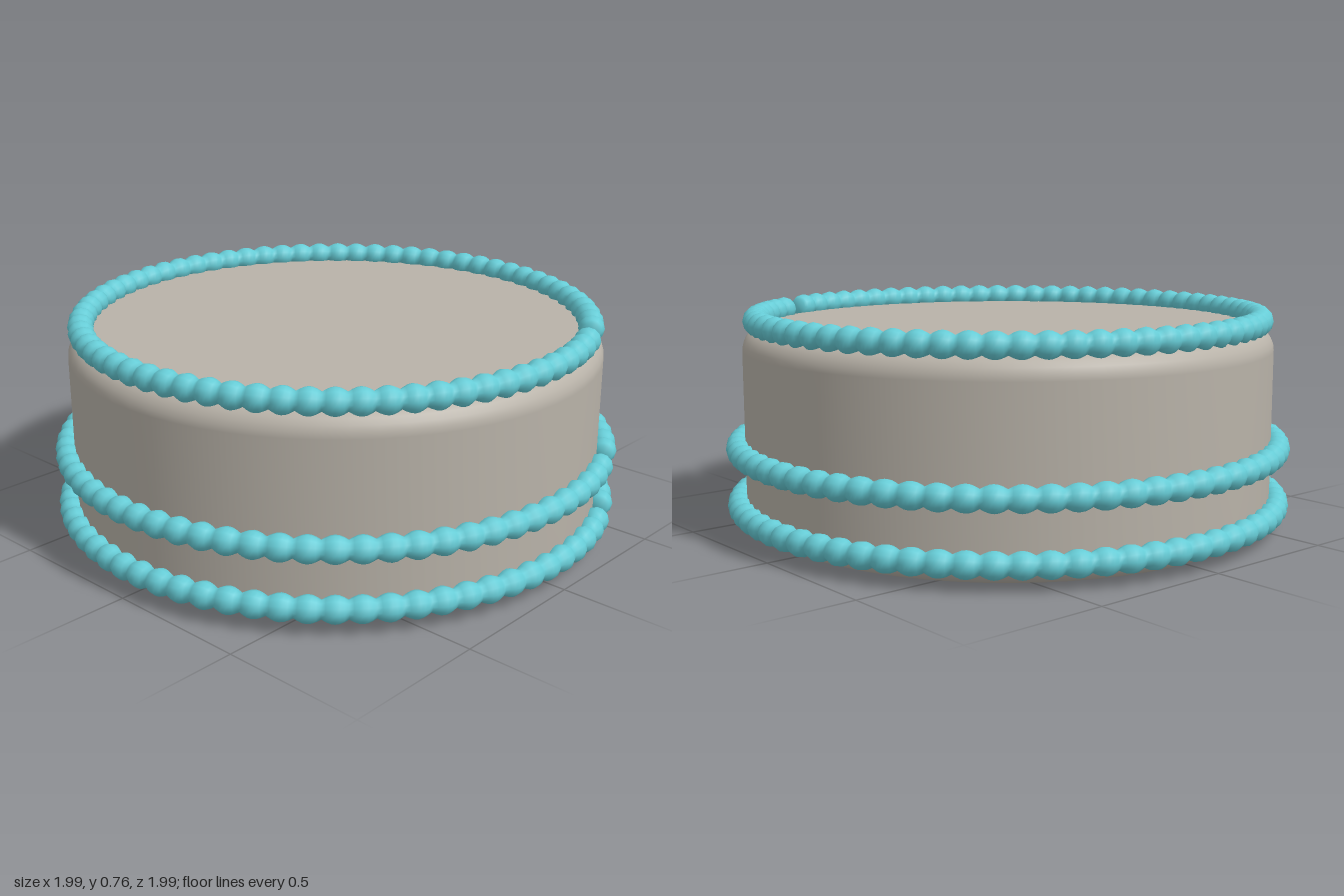
import * as THREE from 'three';

const bodyMaterial = new THREE.MeshStandardMaterial({ color: 0xb8b2a8 });
bodyMaterial.name = 'warm grey';
const beadMaterial = new THREE.MeshStandardMaterial({ color: 0x66ccd6 });
beadMaterial.name = 'turquoise';

// Round drum with softly rounded top and bottom edges
function makeBody() {
  const radius = 0.93, height = 0.7, bevel = 0.08, steps = 6;
  const flat = radius - bevel;
  const points = [new THREE.Vector2(0, 0), new THREE.Vector2(flat - 0.01, 0)];
  for (let i = 0; i <= steps; i++) {
    const a = (i / steps) * Math.PI / 2;
    points.push(new THREE.Vector2(flat + bevel * Math.sin(a), bevel * (1 - Math.cos(a))));
  }
  for (let i = 0; i <= steps; i++) {
    const a = (i / steps) * Math.PI / 2;
    points.push(new THREE.Vector2(flat + bevel * Math.cos(a), height - bevel + bevel * Math.sin(a)));
  }
  points.push(new THREE.Vector2(flat - 0.01, height), new THREE.Vector2(0, height));
  const body = new THREE.Mesh(new THREE.LatheGeometry(points, 64), bodyMaterial);
  body.name = 'body';
  return body;
}

// Open ring swept from circular sections that swell into beads
function beadRingGeometry(ringRadius) {
  const beads = 71, perBead = 6, sides = 12;
  const start = THREE.MathUtils.degToRad(64.8);
  const end = THREE.MathUtils.degToRad(420.5);
  const valley = 0.03, swell = 0.015;
  const total = beads * perBead;

  const sections = [[0, 0]];
  for (let i = 0; i <= total; i++) {
    const t = (i % perBead) / perBead;
    sections.push([i / total, valley + swell * Math.sin(Math.PI * t)]);
  }
  sections.push([1, 0]); // zero-radius sections close the two ends

  const positions = [], indices = [];
  sections.forEach(([u, r], i) => {
    const a = start + (end - start) * u;
    for (let j = 0; j < sides; j++) {
      const s = (j / sides) * Math.PI * 2;
      const d = ringRadius + r * Math.cos(s);
      positions.push(d * Math.cos(a), r * Math.sin(s), d * Math.sin(a));
      if (i < sections.length - 1) {
        const k = (j + 1) % sides;
        const p = i * sides + j, q = i * sides + k;
        indices.push(p, q, p + sides, q, q + sides, p + sides);
      }
    }
  });

  const geometry = new THREE.BufferGeometry();
  geometry.setAttribute('position', new THREE.Float32BufferAttribute(positions, 3));
  geometry.setIndex(indices);
  geometry.computeVertexNormals();
  return geometry;
}

export function createModel() {
  const model = new THREE.Group();
  model.name = 'beadedDrum';
  model.add(makeBody());

  // Two wide rings around the side and one on the top rim
  const rings = [
    ['lowerBeadRing', 0.952, 0.08],
    ['middleBeadRing', 0.952, 0.28],
    ['topBeadRing', 0.882, 0.72],
  ];
  for (const [name, radius, y] of rings) {
    const ring = new THREE.Mesh(beadRingGeometry(radius), beadMaterial);
    ring.name = name;
    ring.position.y = y;
    model.add(ring);
  }
  return model;
}
